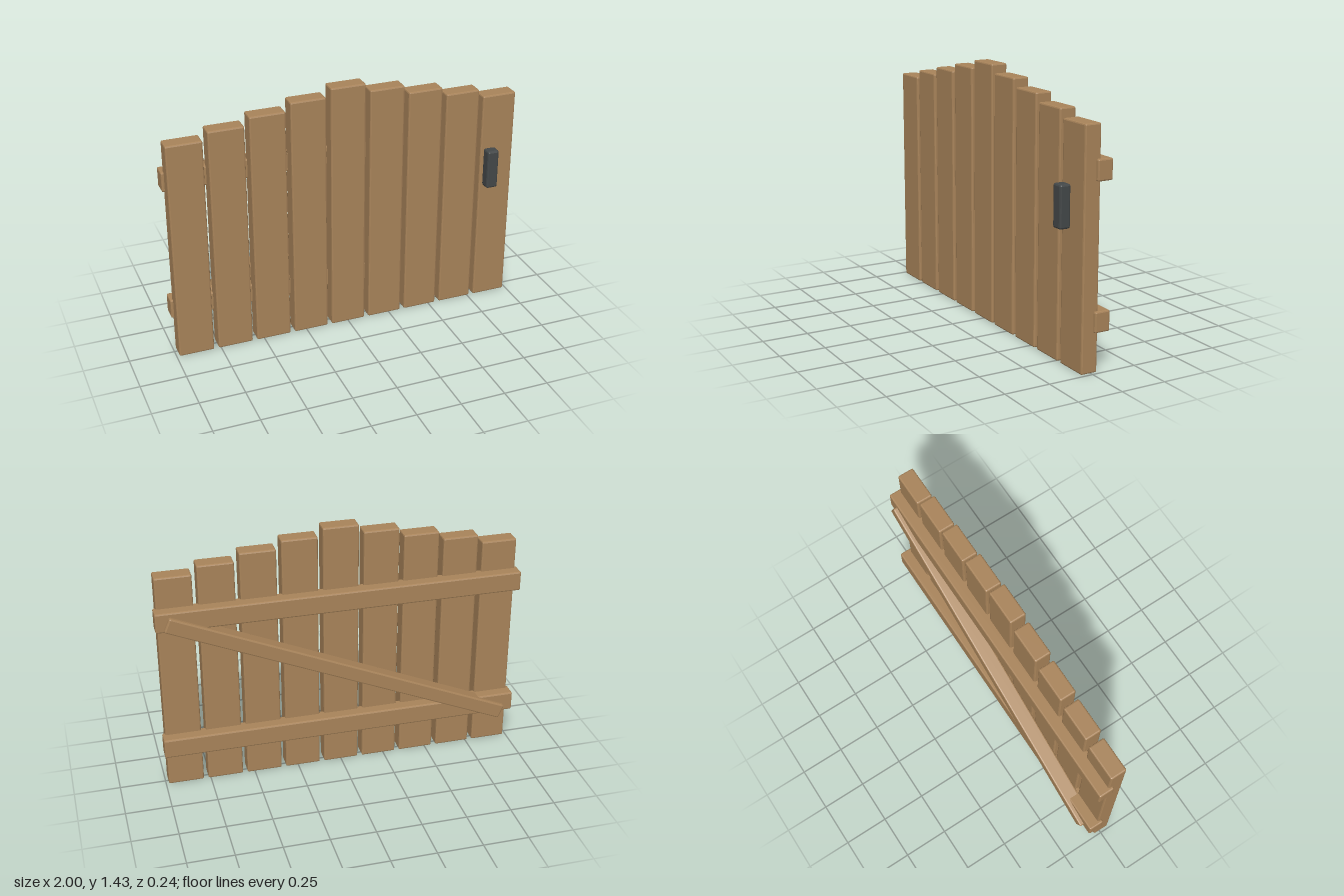
import * as THREE from 'three';
import { RoundedBoxGeometry } from 'three/addons/geometries/RoundedBoxGeometry.js';

export function createModel() {
  const gate = new THREE.Group();
  gate.name = 'gate';

  const wood = new THREE.MeshStandardMaterial({ color: 0xa9845a });
  wood.name = 'wood';
  const iron = new THREE.MeshStandardMaterial({ color: 0x444849 });
  iron.name = 'darkIron';

  // Box with a single flat chamfer on every edge
  function addBlock(name, material, [w, h, d], [x, y, z], bevel = 0.008) {
    const geometry = new RoundedBoxGeometry(w, h, d, 1, bevel);
    geometry.computeVertexNormals();
    const mesh = new THREE.Mesh(geometry, material);
    mesh.name = name;
    mesh.position.set(x, y, z);
    gate.add(mesh);
    return mesh;
  }

  // Upright boards, stepping down from the middle
  for (let i = -4; i <= 4; i++) {
    const height = 1.432 - Math.abs(i) * 0.0447;
    addBlock(`board${i + 5}`, wood, [0.196, height, 0.092], [i * 0.2217, height / 2, 0.011]);
  }

  // Horizontal rails across the back
  addBlock('lowerRail', wood, [2, 0.11, 0.087], [0, 0.264, -0.053]);
  addBlock('upperRail', wood, [2, 0.11, 0.087], [0, 1.025, -0.053]);

  // Diagonal brace behind the rails
  const brace = addBlock('diagonalBrace', wood, [2.038, 0.085, 0.085], [0.007, 0.617, -0.0775]);
  brace.rotation.z = 0.407;

  // Latch block on the front
  addBlock('latch', iron, [0.067, 0.224, 0.062], [0.838, 0.832, 0.089], 0.01);

  return gate;
}
